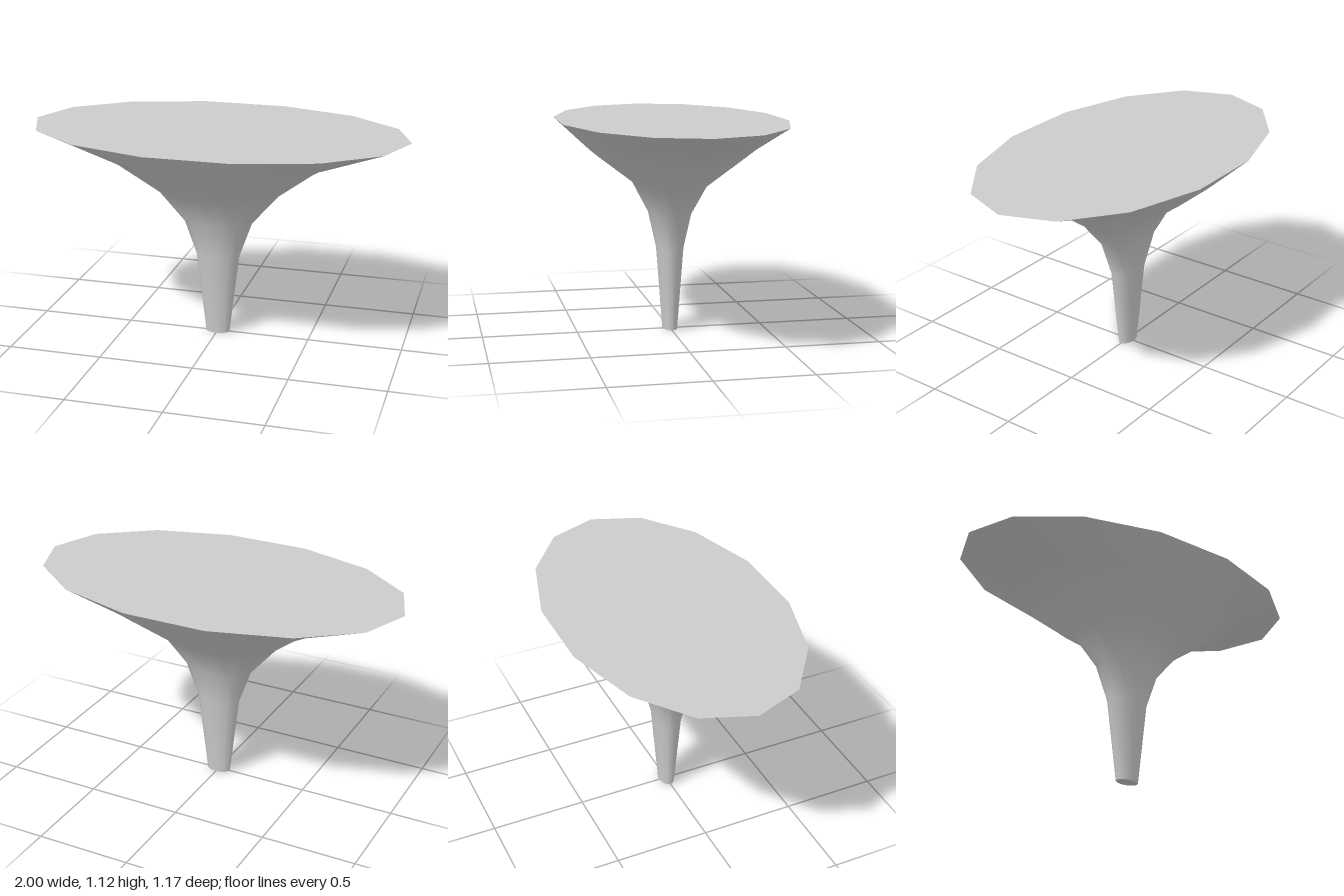
import * as THREE from 'three';
import { mergeVertices } from 'three/addons/utils/BufferGeometryUtils.js';

const SIDES = 14;
// cross-sections: height, half width (x), half depth (z)
const RINGS = [
  [0, 0.065, 0.039],
  [0.44, 0.118, 0.071],
  [0.63, 0.186, 0.112],
  [0.79, 0.325, 0.195],
  [0.955, 0.55, 0.415],
  [1.0, 0.635, 0.465],
  [1.125, 1, 0.6],
];

export function createModel() {
  const group = new THREE.Group();
  const material = new THREE.MeshStandardMaterial({ color: 0xcccccc });
  const add = (name, geometry) => {
    const mesh = new THREE.Mesh(geometry, material);
    mesh.name = name;
    group.add(mesh);
    return mesh;
  };

  // flared pedestal: a lathe squeezed to an ellipse ring by ring
  const profile = RINGS.map(([y, x]) => new THREE.Vector2(x, y));
  let flare = new THREE.LatheGeometry(profile, SIDES, Math.PI / 2);
  const pos = flare.attributes.position;
  for (let i = 0; i < pos.count; i++) {
    const [, rx, rz] = RINGS[i % RINGS.length];
    pos.setZ(i, pos.getZ(i) * rz / rx);
  }
  // weld the seam so the shading is smooth all round
  flare.deleteAttribute('normal');
  flare.deleteAttribute('uv');
  flare = mergeVertices(flare, 1e-4);
  flare.computeVertexNormals();
  add('flaredPedestal', flare);

  // flat elliptical top and foot
  const cap = ([y, rx, rz], up) => new THREE.CircleGeometry(1, SIDES)
    .rotateX(up ? -Math.PI / 2 : Math.PI / 2)
    .scale(rx, 1, rz)
    .translate(0, y, 0);
  add('tabletop', cap(RINGS[RINGS.length - 1], true));
  add('footBase', cap(RINGS[0], false));

  return group;
}
